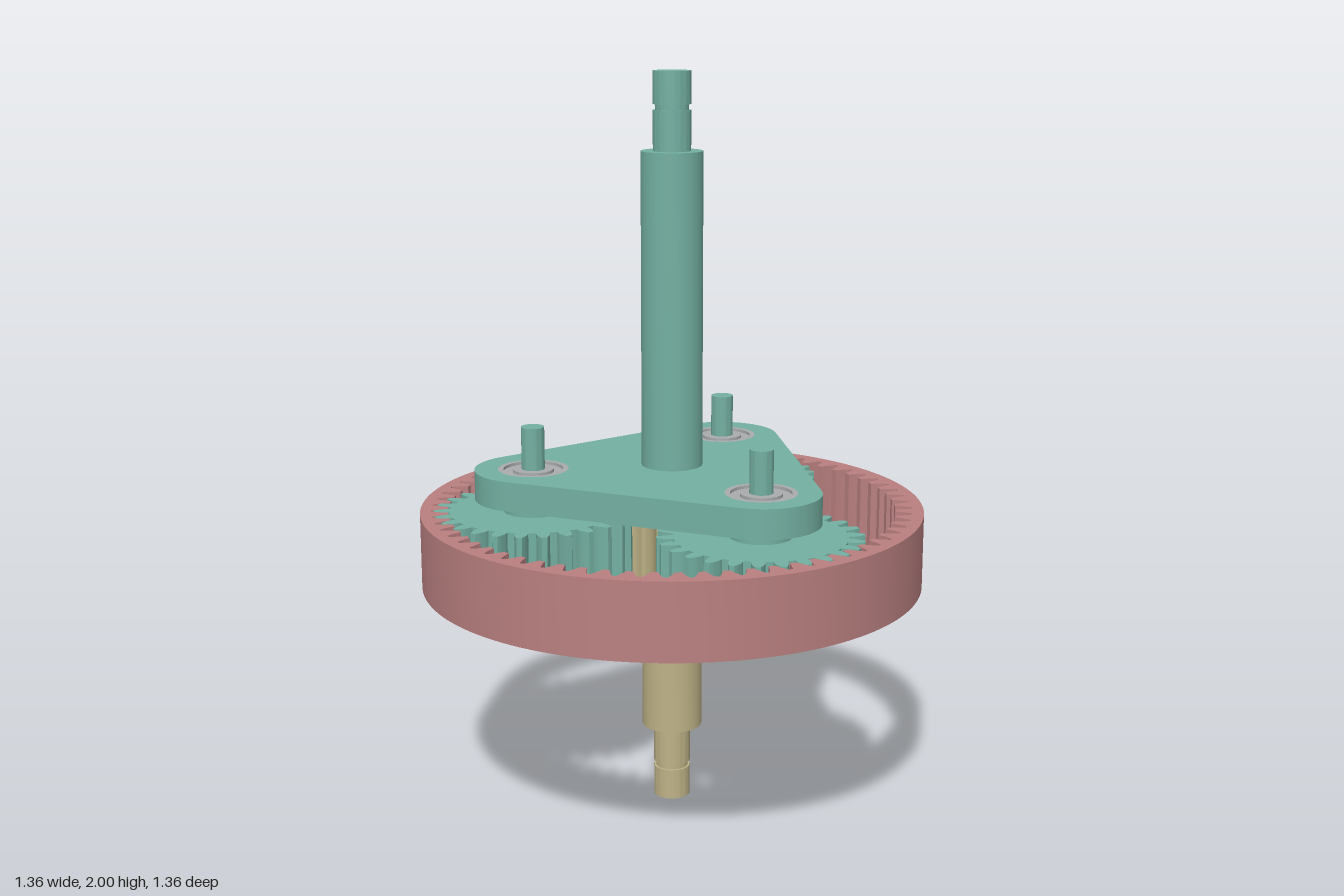
import * as THREE from 'three';
import { toCreasedNormals } from 'three/addons/utils/BufferGeometryUtils.js';

const mat = (name, color) => {
  const m = new THREE.MeshStandardMaterial({ color });
  m.name = name;
  return m;
};

// Gear set: 13-tooth sun, 26-tooth planets, 65-tooth ring
const MODULE = 0.01923, ORBIT = 0.375;
const GEAR_BOTTOM = 0.635, GEAR_TOP = 0.84;
const PLATE_BOTTOM = 0.875, PLATE_TOP = 0.955;
const BEARING_R = 0.0945;

// Involute tooth outline; the first tooth is centred on angle "turn"
function gearPoints(teeth, rootR, tipR, turn = 0) {
  const pitchR = teeth * MODULE / 2;
  const baseR = pitchR * Math.cos(Math.PI / 9);
  const inv = a => Math.tan(a) - a;
  const half = r => Math.PI / (2 * teeth) + inv(Math.PI / 9) - inv(Math.acos(Math.min(1, baseR / r)));
  const steps = 5, pts = [];
  const add = (r, a) => pts.push(new THREE.Vector2(r * Math.cos(a), r * Math.sin(a)));
  for (let t = 0; t < teeth; t++) {
    const mid = turn + t * 2 * Math.PI / teeth;
    for (let i = 0; i <= steps; i++) {
      const r = rootR + (tipR - rootR) * i / steps;
      add(r, mid - half(r));
    }
    for (let i = steps; i >= 0; i--) {
      const r = rootR + (tipR - rootR) * i / steps;
      add(r, mid + half(r));
    }
  }
  return pts;
}

// Extrude a plan shape upwards between two heights
function slab(shape, y0, y1, curveSegments = 32) {
  const g = new THREE.ExtrudeGeometry(shape, { depth: y1 - y0, bevelEnabled: false, curveSegments });
  g.rotateX(-Math.PI / 2).translate(0, y0, 0);
  return toCreasedNormals(g, 0.5);
}

// Turn a profile of [radius, height] pairs, listed from bottom to top
function turned(profile, segments = 48) {
  const g = new THREE.LatheGeometry(profile.map(p => new THREE.Vector2(...p)), segments);
  return toCreasedNormals(g, 0.5);
}

export function createModel() {
  const model = new THREE.Group();
  model.name = 'planetaryGearbox';
  const teal = mat('teal', 0x74b0a2);
  const rose = mat('rose', 0xba8080);
  const tan = mat('tan', 0xbeb287);
  const grey = mat('grey', 0xa9acae);

  const add = (name, geometry, material, parent = model) => {
    const mesh = new THREE.Mesh(geometry, material);
    mesh.name = name;
    parent.add(mesh);
    return mesh;
  };

  // Ring gear with internal teeth
  const ring = new THREE.Shape().absarc(0, 0, 0.68, 0, Math.PI * 2);
  ring.holes.push(new THREE.Path(gearPoints(65, 0.606, 0.649)));
  add('ringGear', slab(ring, GEAR_BOTTOM, GEAR_TOP, 96), rose);

  // Input shaft with retaining groove, carrying the sun gear
  add('inputShaft', turned([
    [0, 0], [0.05, 0], [0.05, 0.085], [0.044, 0.085], [0.044, 0.1], [0.05, 0.1],
    [0.05, 0.21], [0.082, 0.21], [0.082, GEAR_BOTTOM + 0.01],
  ]), tan);
  const sun = new THREE.Shape(gearPoints(13, 0.101, 0.144, Math.PI / 13));
  add('sunGear', slab(sun, GEAR_BOTTOM, GEAR_TOP), tan);

  // Output shaft with retaining groove
  add('outputShaft', turned([
    [0.082, PLATE_TOP - 0.01], [0.082, 1.795], [0.05, 1.795], [0.05, 1.9], [0.044, 1.9],
    [0.044, 1.915], [0.05, 1.915], [0.05, 2], [0, 2],
  ]), teal);

  // Carrier plate: rounded triangle with three bearing seats
  const plate = new THREE.Shape();
  const angles = [0, 1, 2].map(i => i * Math.PI * 2 / 3);
  for (const a of angles) {
    const x = ORBIT * Math.cos(a), y = ORBIT * Math.sin(a);
    plate.absarc(x, y, 0.157, a - Math.PI / 3, a + Math.PI / 3);
    plate.holes.push(new THREE.Path().absarc(x, y, BEARING_R, 0, Math.PI * 2));
  }
  add('carrierPlate', slab(plate, PLATE_BOTTOM, PLATE_TOP), teal);

  // Planet gears, each with a spacer collar, bearing and pin
  const planetShape = new THREE.Shape(gearPoints(26, 0.226, 0.269));
  const planetGeo = slab(planetShape, GEAR_BOTTOM, GEAR_TOP);
  const collarGeo = turned([[0.082, GEAR_TOP], [0.082, PLATE_BOTTOM], [0, PLATE_BOTTOM]]);
  const pinGeo = turned([[0.031, PLATE_BOTTOM], [0.031, 1.07], [0, 1.07]], 32);
  const bearingGeo = turned([
    [0.031, PLATE_BOTTOM], [BEARING_R, PLATE_BOTTOM], [BEARING_R, PLATE_TOP], [0.08, PLATE_TOP],
    [0.08, PLATE_TOP - 0.008], [0.055, PLATE_TOP - 0.008], [0.055, PLATE_TOP], [0.031, PLATE_TOP],
  ]);
  angles.forEach((a, i) => {
    const planet = new THREE.Group();
    planet.name = 'planet' + (i + 1);
    planet.position.set(ORBIT * Math.cos(a), 0, -ORBIT * Math.sin(a));
    add('planetGear', planetGeo, teal, planet);
    add('planetCollar', collarGeo, teal, planet);
    add('planetPin', pinGeo, teal, planet);
    add('planetBearing', bearingGeo, grey, planet);
    model.add(planet);
  });

  return model;
}
